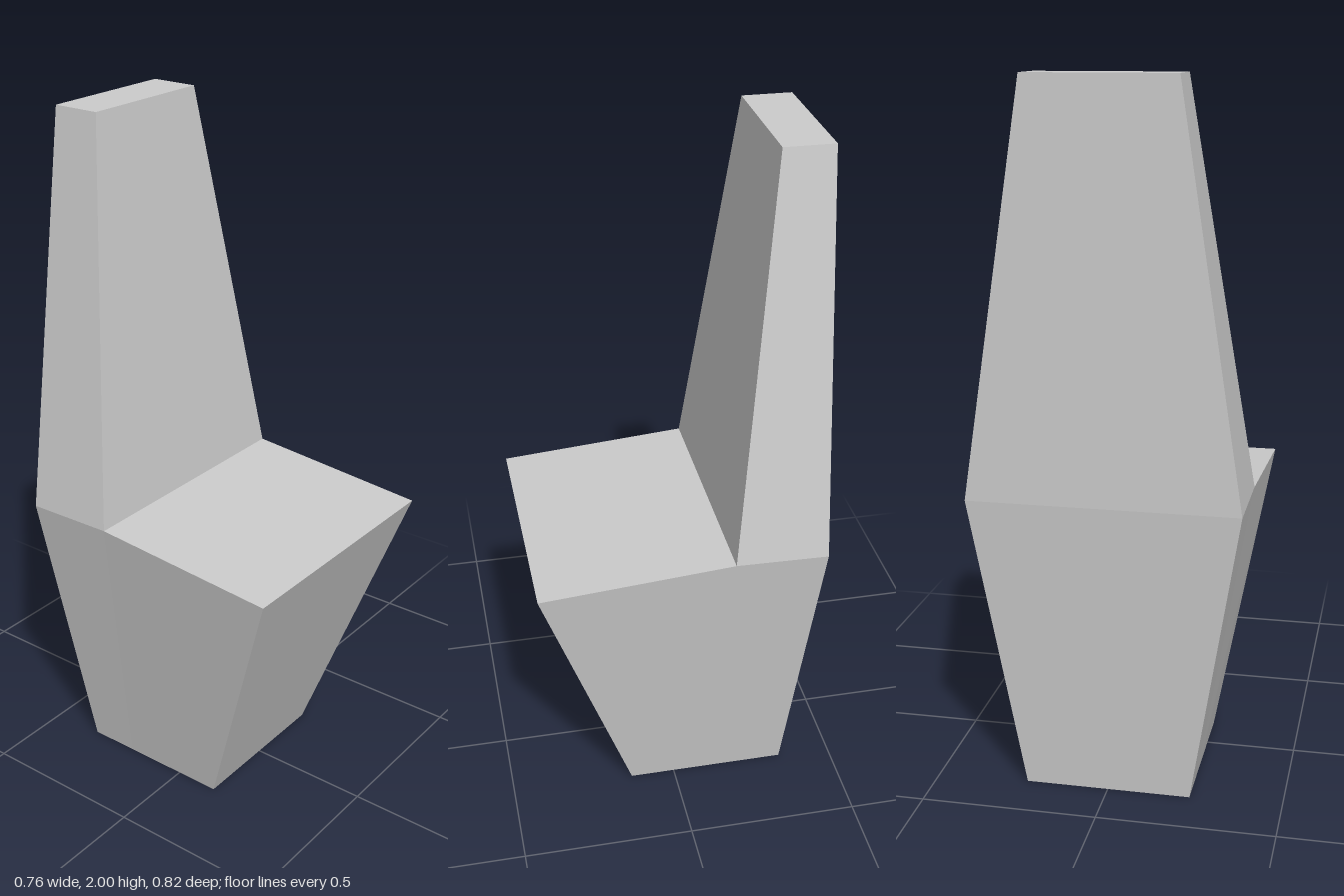
import * as THREE from 'three';

const material = new THREE.MeshStandardMaterial({ color: 0xcccccc, flatShading: true });

// Tapered block: each profile lists [halfWidth, y, z] from back to front.
function taperedBlock(name, bottom, top) {
  const segments = bottom.length - 1;
  const box = new THREE.BoxGeometry(1, 1, 1, 1, 1, segments);
  const p = box.attributes.position;
  for (let i = 0; i < p.count; i++) {
    const row = p.getY(i) > 0 ? top : bottom;
    const [halfWidth, y, z] = row[Math.round((p.getZ(i) + 0.5) * segments)];
    p.setXYZ(i, Math.sign(p.getX(i)) * halfWidth, y, z);
  }
  const geometry = box.toNonIndexed();
  geometry.computeVertexNormals();
  const mesh = new THREE.Mesh(geometry, material);
  mesh.name = name;
  return mesh;
}

export function createModel() {
  const group = new THREE.Group();
  group.name = 'chair';

  // Base narrows to the floor; its top slopes down to the front edge.
  group.add(taperedBlock('seatBase',
    [[0.237, 0, -0.34], [0.237, 0, -0.19], [0.237, 0, 0.133]],
    [[0.38, 0.865, -0.408], [0.38, 0.87, -0.143], [0.38, 0.825, 0.412]]));

  // Tall backrest narrows and thins towards the top.
  group.add(taperedBlock('backrest',
    [[0.38, 0.865, -0.408], [0.38, 0.87, -0.143]],
    [[0.206, 2, -0.412], [0.206, 2, -0.27]]));

  return group;
}
